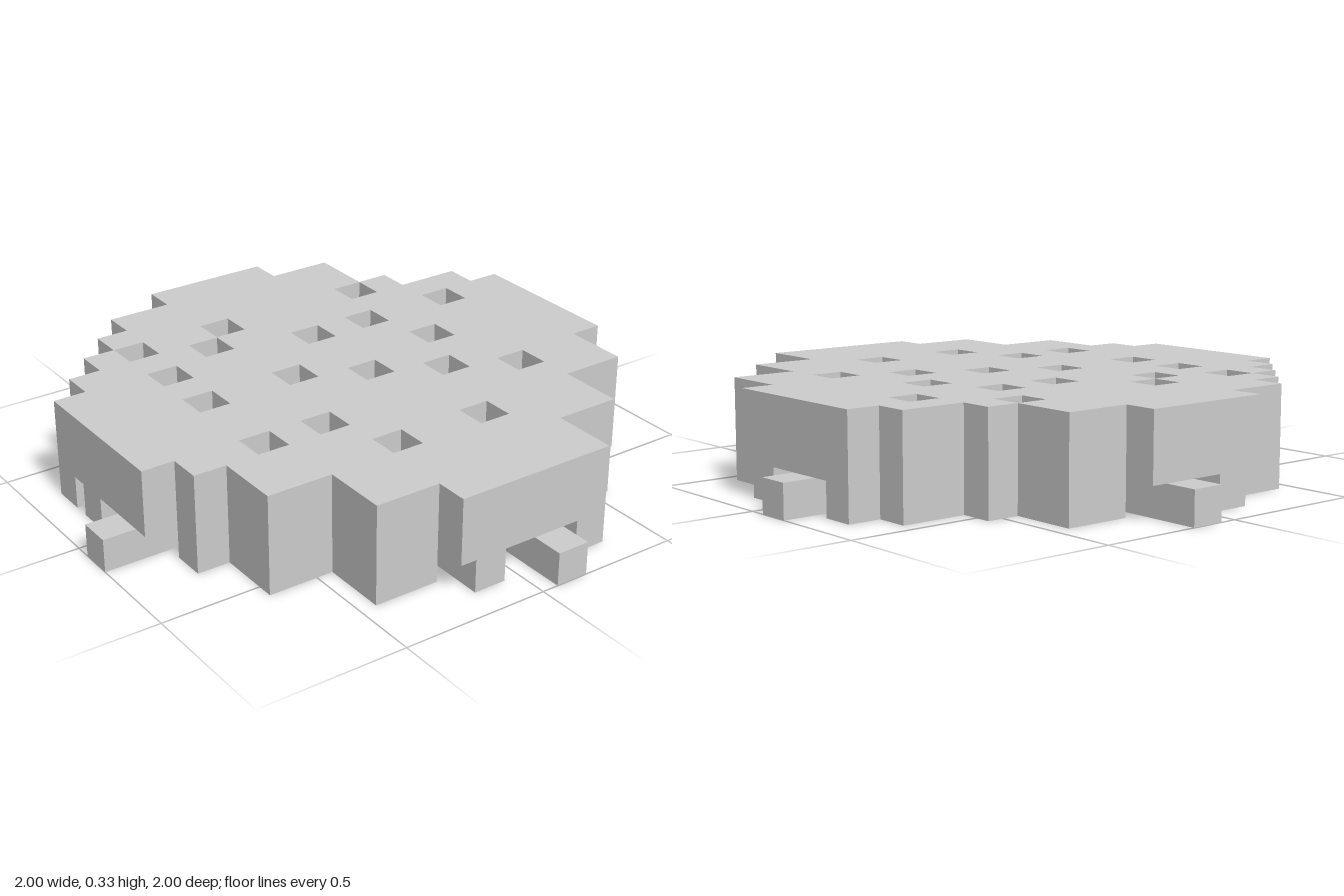
import * as THREE from 'three';

const U = 1 / 9; // one grid cell

// Shape from [x, z] corners in cells
const toPoints = (pts) => pts.map(([x, z]) => new THREE.Vector2(x * U, -z * U));

function rectHole(x0, z0, x1, z1) {
  const e = 0.01; // keeps corner-touching holes apart
  return new THREE.Path(toPoints([
    [x0 + e, z0 + e], [x0 + e, z1 - e], [x1 - e, z1 - e], [x1 - e, z0 + e],
  ]));
}

function slab(name, outline, holes, y, height, material) {
  const shape = new THREE.Shape(toPoints(outline));
  shape.holes = holes.map((h) => rectHole(...h));
  const geo = new THREE.ExtrudeGeometry(shape, { depth: height * U, bevelEnabled: false });
  geo.rotateX(-Math.PI / 2).translate(0, y * U, 0);
  const mesh = new THREE.Mesh(geo, material);
  mesh.name = name;
  return mesh;
}

// Open recess holding two fingers; place(a, d) maps along-edge and outward distance
function socket(place, first, second) {
  const depth = 6;
  return [
    [-2, depth], [-1.5, depth], [-1.5, first], [-0.5, first], [-0.5, depth],
    [0.5, depth], [0.5, second], [1.5, second], [1.5, depth], [2, depth],
  ].map(([a, d]) => place(a, d));
}

export function createModel() {
  const group = new THREE.Group();
  group.name = 'steppedPlate';
  const material = new THREE.MeshStandardMaterial({ color: 0xcccccc, flatShading: true });

  // Stepped edges between the four flat sides
  const frontRight = [[2, 7], [3, 7], [3, 6], [5, 6], [5, 4], [7, 4], [7, 2]];
  const backRight = [[8, -3], [6, -3], [6, -5], [4, -5], [4, -7], [2, -7]];
  const backLeft = [[-3, -8], [-3, -7], [-4, -7], [-4, -5], [-5, -5], [-5, -4], [-7, -4], [-7, -2]];
  const frontLeft = [[-7, 2], [-7, 4], [-6, 4], [-6, 5], [-5, 5], [-5, 6], [-4, 6], [-4, 7], [-3, 7], [-3, 8]];

  const plateOutline = [
    ...frontRight, [8, 2], ...backRight, [2, -8], ...backLeft,
    [-8, -2], [-8, 2], ...frontLeft, [2, 8],
  ];

  // Base outline with a recess, a flush finger and a protruding tab per side
  const baseOutline = [
    ...frontRight, ...socket((a, d) => [d, -a], 8, 9), [8, -2],
    ...backRight, ...socket((a, d) => [-a, -d], 8, 9), [-2, -8],
    ...backLeft, ...socket((a, d) => [-d, a], 9, 8),
    ...frontLeft, [-2, 8], ...socket((a, d) => [a, d], 8, 9),
  ];

  // Square through holes
  const holes = [
    [-3, -6], [2, -5], [-5, -4], [-1, -4], [-3, -3], [1, -3], [4, -2], [-3, -1], [0, -1],
    [-5, 1], [-1, 1], [4, 1], [-4, 2], [2, 2], [-5, 4], [-3, 4], [-1, 4], [2, 4],
  ].map(([x, z]) => [x, z, x + 1, z + 1]);

  // One pocket under the plate behind each recess; it swallows the holes inside it
  const pockets = [[3, -2, 5, 2], [-5, -2, -3, 2], [-2, 3, 2, 5], [-2, -5, 2, -3]];
  const inPocket = ([x0, z0, x1, z1]) =>
    pockets.some(([a, b, c, d]) => x0 >= a && z0 >= b && x1 <= c && z1 <= d);
  const baseHoles = [...holes.filter((h) => !inPocket(h)), ...pockets];

  group.add(slab('topPlate', plateOutline, holes, 1, 2, material));
  group.add(slab('interlockingBase', baseOutline, baseHoles, 0, 1, material));
  return group;
}
